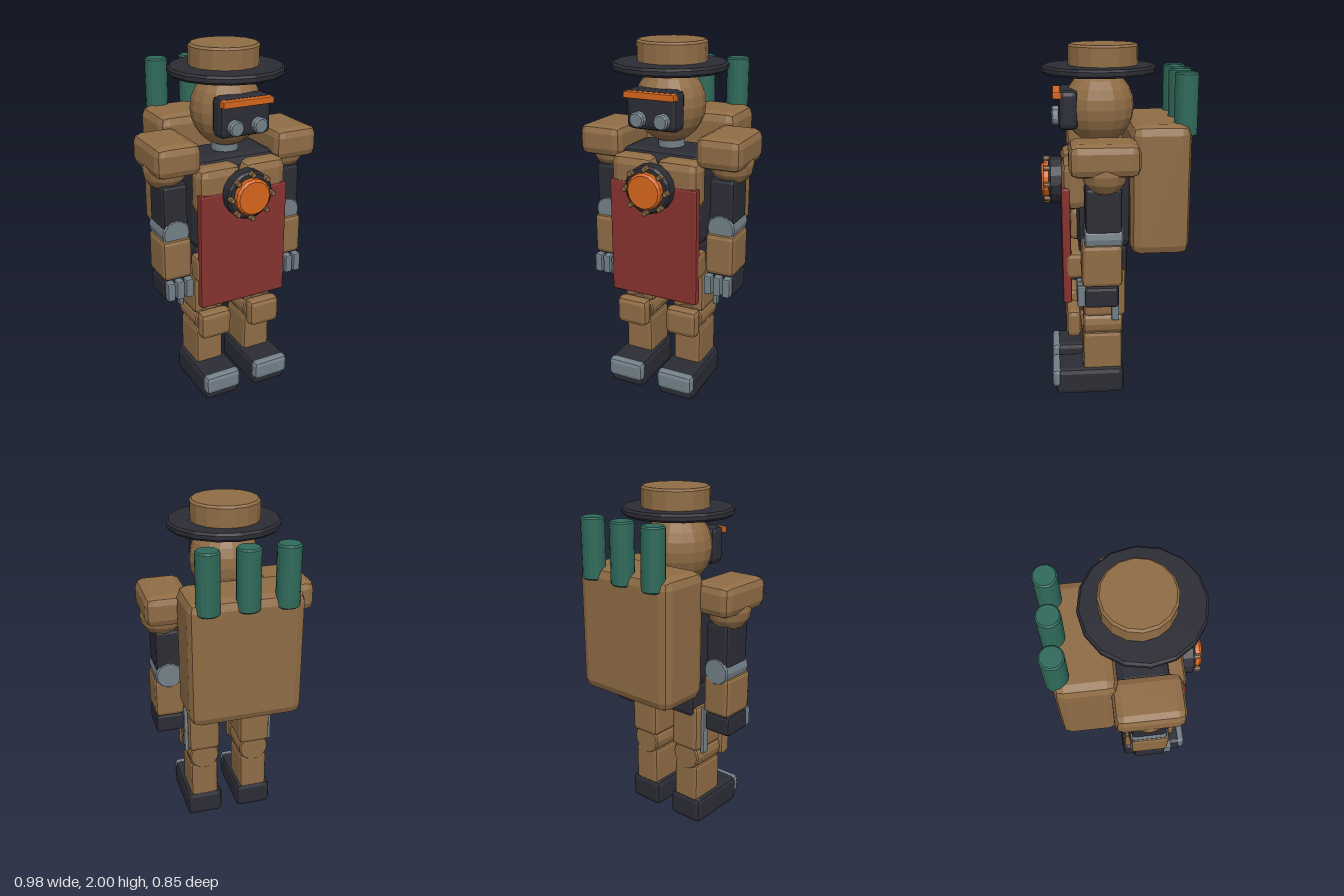
import * as THREE from 'three';
import { RoundedBoxGeometry } from 'three/addons/geometries/RoundedBoxGeometry.js';

const material = (name, color) => {
  const m = new THREE.MeshStandardMaterial({ color, flatShading: true });
  m.name = name;
  return m;
};

export function createModel() {
  const brown = material('brown', 0x8f6c45);
  const dark = material('charcoal', 0x2c2c35);
  const grey = material('steel grey', 0x727f88);
  const red = material('apron red', 0x86322e);
  const orange = material('orange', 0xd4651c);
  const green = material('green', 0x2f6a5a);

  const model = new THREE.Group();
  model.name = 'robot';

  const add = (name, geometry, mat, x, y, z, parent = model) => {
    const mesh = new THREE.Mesh(geometry, mat);
    mesh.name = name;
    mesh.position.set(x, y, z);
    parent.add(mesh);
    return mesh;
  };

  // Bevelled box given by its extents along each axis
  const box = (name, mat, [x0, x1], [y0, y1], [z0, z1], bevel = 0.02, parent = model) =>
    add(name, new RoundedBoxGeometry(x1 - x0, y1 - y0, z1 - z0, 1, bevel), mat,
      (x0 + x1) / 2, (y0 + y1) / 2, (z0 + z1) / 2, parent);

  // Upright disc or drum with chamfered rims, centred on its origin
  const drum = (r, h, bevel = 0.01, sides = 16) => new THREE.LatheGeometry([
    [0, -h / 2], [r - bevel, -h / 2], [r, -h / 2 + bevel],
    [r, h / 2 - bevel], [r - bevel, h / 2], [0, h / 2],
  ].map(([a, b]) => new THREE.Vector2(a, b)), sides);
  const forwardDrum = (...args) => drum(...args).rotateX(Math.PI / 2);

  // Head, neck and hat
  const head = add('head', new THREE.SphereGeometry(0.195, 16, 12), brown, 0, 1.66, 0.09);
  head.scale.y = 1.08;
  add('neck', drum(0.075, 0.12), grey, 0, 1.44, 0.08);
  add('hatBrim', drum(0.315, 0.045, 0.012), dark, 0, 1.865, 0.09);
  add('hatCrown', drum(0.192, 0.13, 0.012), brown, 0, 1.935, 0.067);

  // Face mask with brow and eyes
  box('faceMask', dark, [-0.15, 0.15], [1.55, 1.765], [0.21, 0.318], 0.03);
  box('brow', orange, [-0.147, 0.147], [1.72, 1.755], [0.3, 0.347], 0.005);
  for (const s of [1, -1])
    add('eye', forwardDrum(0.043, 0.05, 0.008, 12), grey, s * 0.07, 1.61, 0.33);

  // Torso
  box('torso', dark, [-0.25, 0.25], [0.9, 1.425], [-0.07, 0.23], 0.05);
  box('pelvis', dark, [-0.235, 0.235], [0.71, 0.92], [-0.05, 0.22], 0.03);
  box('bellyPlate', brown, [-0.2, 0.2], [0.94, 1.13], [0.18, 0.272], 0.03);
  box('hipPlate', brown, [-0.27, 0.27], [0.735, 0.885], [0.18, 0.3], 0.025);

  // Apron and chest emblem ring with bolts
  box('apron', red, [-0.265, 0.265], [0.59, 1.26], [0.265, 0.315], 0.012);
  add('portRing', forwardDrum(0.135, 0.085, 0.012), dark, 0, 1.245, 0.338);
  add('portLens', forwardDrum(0.102, 0.06, 0.012), orange, 0, 1.245, 0.39);
  for (let i = 0; i < 8; i++) {
    const a = i * Math.PI / 4;
    add('portBolt', forwardDrum(0.016, 0.04, 0.004, 8), brown,
      Math.cos(a) * 0.122, 1.245 + Math.sin(a) * 0.122, 0.39);
  }

  // Backpack and tubes
  box('backpack', brown, [-0.317, 0.317], [0.875, 1.6], [-0.388, -0.06], 0.055);
  for (const x of [-0.212, 0, 0.212])
    add('packTube', drum(0.064, 0.335, 0.008), green, x, 1.697, -0.361);

  // Paired parts, built once per side
  for (const s of [1, -1]) {
    const span = (a, b) => (s > 0 ? [a, b] : [-b, -a]);
    const side = s > 0 ? 'left' : 'right';

    box(side + 'ChestPlate', brown, span(0.008, 0.265), [1.13, 1.4], [0.17, 0.31], 0.05);

    const arm = new THREE.Group();
    arm.name = side + 'Arm';
    model.add(arm);
    box('shoulderPad', brown, span(0.225, 0.482), [1.36, 1.535], [-0.097, 0.273], 0.045, arm);
    add('shoulderJoint', new THREE.SphereGeometry(0.122, 12, 8), brown, s * 0.367, 1.37, 0.085, arm);
    box('upperArm', dark, span(0.278, 0.424), [1.04, 1.3], [-0.003, 0.193], 0.02, arm);
    add('elbow', forwardDrum(0.08, 0.205, 0.008), grey, s * 0.352, 1.02, 0.095, arm);
    box('forearm', brown, span(0.268, 0.438), [0.75, 0.99], [-0.005, 0.215], 0.025, arm);
    box('hand', dark, span(0.268, 0.437), [0.63, 0.75], [0.015, 0.203], 0.018, arm);
    for (const x of [0.297, 0.352, 0.407])
      box('finger', grey, span(x - 0.022, x + 0.022), [0.638, 0.748], [0.19, 0.24], 0.008, arm);

    const leg = new THREE.Group();
    leg.name = side + 'Leg';
    model.add(leg);
    box('hipBlade', grey, span(0.25, 0.275), [0.475, 0.77], [0, 0.043], 0.008, leg);
    box('thigh', brown, span(0.063, 0.253), [0.49, 0.78], [-0.04, 0.2], 0.025, leg);
    add('knee', forwardDrum(0.092, 0.225, 0.008), brown, s * 0.158, 0.44, 0.09, leg);
    box('kneeCap', brown, span(0.062, 0.254), [0.365, 0.53], [0.215, 0.3], 0.03, leg);
    box('kneeCapMount', brown, span(0.12, 0.196), [0.41, 0.48], [0.18, 0.23], 0.005, leg);
    box('shin', brown, span(0.073, 0.243), [0.13, 0.385], [-0.02, 0.207], 0.02, leg);
    box('boot', dark, span(0.048, 0.27), [0, 0.165], [-0.03, 0.37], 0.03, leg);
    box('toeCap', grey, span(0.05, 0.268), [0.05, 0.165], [0.325, 0.39], 0.025, leg);
  }
  return model;
}
